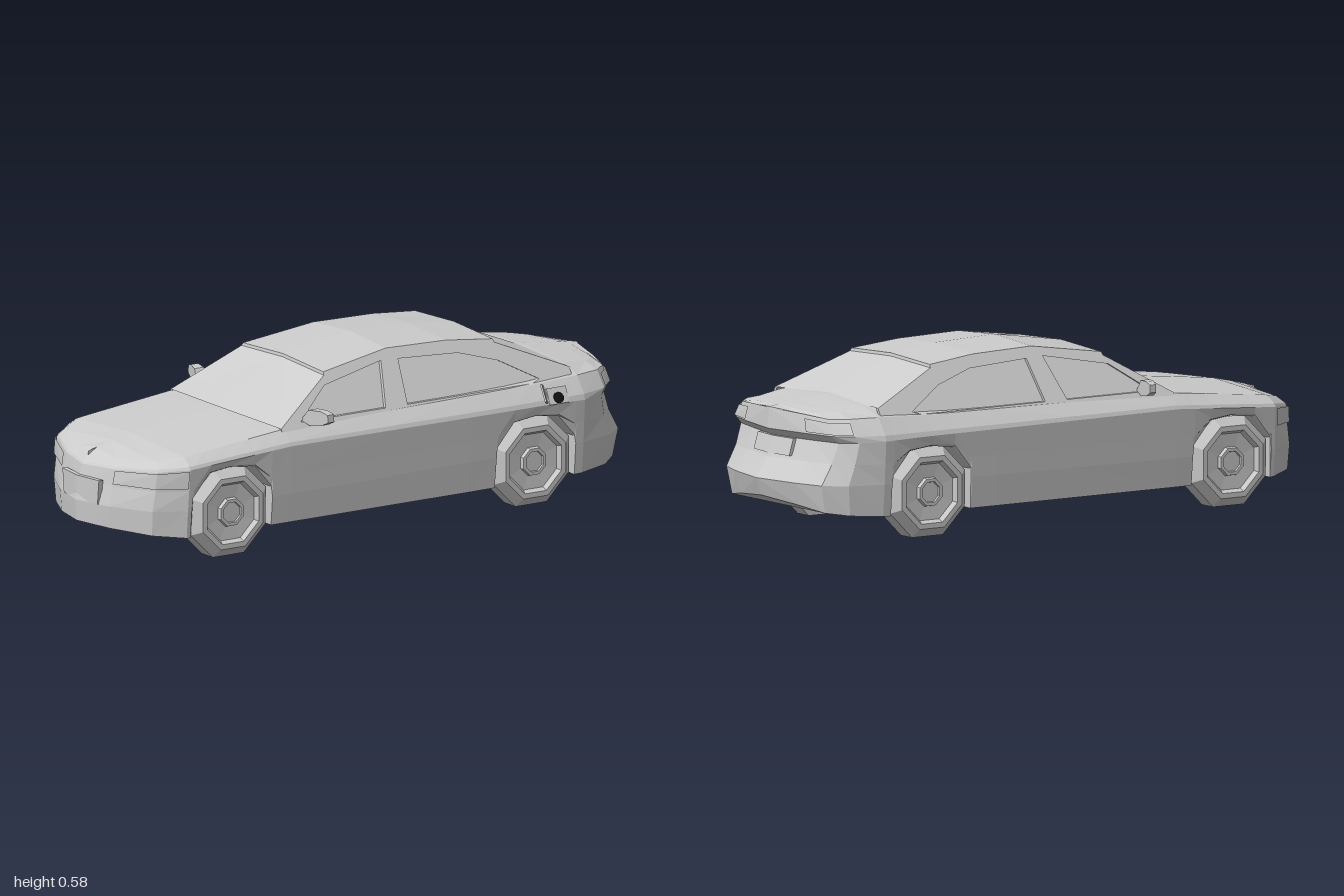
import * as THREE from 'three';
import { mergeGeometries } from 'three/addons/utils/BufferGeometryUtils.js';

const paint = new THREE.MeshStandardMaterial({ color: 0xcccccc, flatShading: true, side: THREE.DoubleSide });
const black = new THREE.MeshStandardMaterial({ color: 0x111111, flatShading: true });
const clamp = (v) => Math.min(1, Math.max(0, v));

// Piecewise linear curve through [t, value] points
function curve(points) {
  return (t) => {
    if (t <= points[0][0]) return points[0][1];
    for (let i = 1; i < points.length; i++) {
      const [t0, v0] = points[i - 1], [t1, v1] = points[i];
      if (t <= t1) return t1 === t0 ? v1 : v0 + (v1 - v0) * (t - t0) / (t1 - t0);
    }
    return points[points.length - 1][1];
  };
}

// Surface through rows of points, skipping collapsed triangles
function loft(rows) {
  const pos = [];
  const tri = (a, b, c) => {
    const [p, q, r] = [a, b, c].map((v) => new THREE.Vector3(...v));
    if (q.sub(p).cross(r.sub(p)).length() > 1e-8) pos.push(...a, ...b, ...c);
  };
  for (let i = 0; i + 1 < rows.length; i++) {
    for (let j = 0; j + 1 < rows[i].length; j++) {
      const a = rows[i][j], b = rows[i][j + 1], c = rows[i + 1][j + 1], d = rows[i + 1][j];
      tri(a, b, c);
      tri(a, c, d);
    }
  }
  const geo = new THREE.BufferGeometry();
  geo.setAttribute('position', new THREE.Float32BufferAttribute(pos, 3));
  return geo;
}

// Keeps positions only, adds the z-mirrored half with flipped winding
function mirrored(source) {
  const flat = source.index ? source.toNonIndexed() : source;
  const half = new THREE.BufferGeometry();
  half.setAttribute('position', flat.attributes.position.clone());
  const other = half.clone().scale(1, 1, -1);
  const a = other.attributes.position.array;
  for (let i = 0; i < a.length; i += 9) {
    for (let k = 0; k < 3; k++) [a[i + k], a[i + 3 + k]] = [a[i + 3 + k], a[i + k]];
  }
  const both = mergeGeometries([half, other]);
  both.computeVertexNormals();
  return both;
}

// Moves every vertex of a geometry by a rule
function bend(geo, rule) {
  const p = geo.attributes.position;
  for (let i = 0; i < p.count; i++) p.setXYZ(i, ...rule(p.getX(i), p.getY(i), p.getZ(i)));
  geo.computeVertexNormals();
  return geo;
}

const polygon = (pts) => new THREE.Shape(pts.map(([x, y]) => new THREE.Vector2(x, y)));

export function createModel() {
  const car = new THREE.Group();
  car.name = 'sedan';
  const add = (name, geo, material = paint) => {
    const mesh = new THREE.Mesh(geo, material);
    mesh.name = name;
    car.add(mesh);
    return mesh;
  };

  // Plan outline and wheel arch heights
  const wheelX = [-0.62, 0.555];
  const planZ = curve([[-1, 0], [-0.965, 0.14], [-0.89, 0.285], [-0.79, 0.345], [-0.4, 0.352],
    [0.3, 0.356], [0.74, 0.354], [0.86, 0.325], [0.93, 0.272], [0.965, 0.17], [1, 0]]);
  const arch = curve([[-0.155, 0], [-0.15, 0.21], [-0.085, 0.285], [0, 0.295], [0.085, 0.285], [0.15, 0.21], [0.155, 0]]);
  const archXs = (c) => [-0.155, -0.15, -0.085, 0, 0.085, 0.15, 0.155].map((d) => c + d);
  const xs = [-1, -0.965, -0.89, -0.79, ...archXs(wheelX[0]), -0.4, 0, 0.3,
    ...archXs(wheelX[1]), 0.74, 0.86, 0.93, 0.965, 1];
  const baseY = curve([[-1, 0.1], [-0.78, 0.08], [0.72, 0.08], [0.92, 0.092], [1, 0.13]]);
  const sillY = (x) => Math.max(baseY(x), ...wheelX.map((c) => arch(x - c)));
  const slide = (x, nose, tail) => x + nose * clamp((-x - 0.76) / 0.2) + tail * clamp((x - 0.76) / 0.2);
  const crownY = curve([[-0.95, 0.322], [-0.8, 0.36], [-0.6, 0.382], [-0.42, 0.4], [0.72, 0.442], [0.95, 0.415]]);

  // Body waterlines from sill to shoulder: height curve, width factor, nose and tail offsets
  const levels = [
    [[[0, 0]], 0.965, 0.01, -0.02],
    [[[-1, 0.17], [1, 0.188]], 0.99, 0.005, 0],
    [[[-1, 0.235], [1, 0.255]], 1, 0.02, -0.045],
    [[[-1, 0.285], [-0.85, 0.305], [-0.4, 0.335], [0.6, 0.33], [1, 0.32]], 1.015, 0.03, -0.072],
    [[[-1, 0.292], [-0.85, 0.315], [-0.4, 0.347], [0.6, 0.345], [1, 0.345]], 1, 0.035, -0.045],
    [[[-1, 0.31], [-0.8, 0.342], [-0.4, 0.383], [0.5, 0.39], [0.8, 0.402], [0.92, 0.395], [1, 0.413]], 0.89, 0.055, -0.05],
  ].map(([heights, width, nose, tail], i) => {
    const y = curve(heights);
    return xs.map((x) => [slide(x, nose, tail), Math.max(y(x), sillY(x) + 0.004 * i), planZ(x) * width]);
  });
  const [sill, , lampLow, belt, lip, shoulder] = levels;
  const floor = sill.map(([x, , z], j) => [x, baseY(xs[j]), Math.min(z, 0.25)]);
  const body = [
    floor.map(([x, y]) => [x, y, 0]),
    floor,
    sill.map(([x, y, z]) => [x, y, Math.min(z, 0.25)]),
    ...levels,
    shoulder.map(([x, y, z]) => [x, z === 0 ? y : Math.max(y, crownY(x) - 0.014), z * 0.76]),
    shoulder.map(([x]) => [x, crownY(x), 0]),
  ];
  add('body', mirrored(loft(body)));

  // Head and tail lamps wrap the corners just outside the body
  const lamp = (low, high, from, to, t0, t1) => loft([t0, t1].map((t) =>
    low.slice(from, to).map((a, j) => {
      const b = high[from + j];
      const p = a.map((v, k) => v + (b[k] - v) * t);
      return [p[0] + Math.sign(p[0]) * 0.005, p[1], p[2] + 0.004];
    })));
  add('headlamps', mirrored(lamp(lampLow, belt, 1, 4, 0.15, 0.95)));
  add('tailLamps', mirrored(lamp(lip, shoulder, xs.length - 4, xs.length - 1, 0.1, 0.8)));

  // Nose grille and rear plate follow the curved bumpers
  const grille = new THREE.BoxGeometry(0.016, 0.08, 0.2, 1, 1, 2);
  add('grille', bend(grille, (x, y, z) => [x - 0.982 + 1.6 * z * z, y + 0.21, z * (1 + y)]));
  const plate = new THREE.BoxGeometry(0.012, 0.055, 0.2, 1, 1, 2);
  add('rearPlate', bend(plate, (x, y, z) => [x + 0.938 - 0.3 * y - 1.2 * z * z, y + 0.293, z]));

  // Roof, windscreen and rear window: x, rail height, crown height
  const cabin = [[-0.41, 0.385, 0.4], [-0.19, 0.515, 0.527], [-0.188, 0.525, 0.537], [0.07, 0.562, 0.576],
    [0.3, 0.556, 0.568], [0.475, 0.538, 0.549], [0.477, 0.528, 0.539], [0.725, 0.425, 0.437]];
  const sideZ = (y) => 0.316 - 0.62 * (y - 0.385);
  add('roofAndScreens', mirrored(loft([
    cabin.map(([x, y]) => [x, y, sideZ(y)]),
    cabin.map(([x, , y], i) => [x - (i === 0 ? 0.035 : 0), y, 0]),
  ])));

  // Cabin sides with window openings, leaning inwards
  const windows = [
    [[-0.33, 0.395], [-0.31, 0.41], [-0.2, 0.487], [0.038, 0.53], [0, 0.395]],
    [[0.085, 0.395], [0.103, 0.527], [0.33, 0.515], [0.47, 0.475], [0.6, 0.405], [0.57, 0.395]],
  ];
  const side = polygon([[-0.41, 0.375], [0.725, 0.385], ...cabin.map(([x, y]) => [x, y]).reverse()]);
  side.holes = windows.map((w) => polygon(w));
  const depth = 0.012;
  const lean = (x, y, z) => [x, y, sideZ(y) + z - depth];
  add('cabinSides', mirrored(bend(new THREE.ExtrudeGeometry(side, { depth, bevelEnabled: false }), lean)));
  windows.forEach((w, i) => add(i ? 'rearSideWindows' : 'frontSideWindows',
    mirrored(bend(new THREE.ShapeGeometry(polygon(w)), lean))));

  // Door mirrors, swept back towards the tip
  const mirrorShape = polygon([[0.295, 0.4], [0.33, 0.385], [0.375, 0.392], [0.4, 0.405], [0.398, 0.43], [0.37, 0.438], [0.325, 0.436], [0.31, 0.415]]);
  const mirrorGeo = new THREE.ExtrudeGeometry(mirrorShape, { depth: 0.04, bevelEnabled: false });
  add('doorMirrors', mirrored(bend(mirrorGeo, (z, y, d) =>
    [-0.32 + d * (1 - 4 * (z - 0.3)) + 0.35 * (z - 0.3), y, z]).scale(1, 1, 1)));

  // Fuel filler with its open flap, on one side only
  const filler = new THREE.Group();
  filler.name = 'fuelFiller';
  const part = (name, geo, material, x, y, z) => {
    const mesh = new THREE.Mesh(geo, material);
    mesh.name = name;
    mesh.position.set(x, y, z);
    filler.add(mesh);
    return mesh;
  };
  part('fillerPanel', new THREE.BoxGeometry(0.075, 0.055, 0.01), paint, 0.64, 0.352, 0.347).rotation.x = -0.45;
  const cap = part('fillerCap', new THREE.CylinderGeometry(0.019, 0.019, 0.008, 12), black, 0.64, 0.347, 0.354);
  cap.rotation.x = Math.PI / 2 - 0.45;
  part('fillerFlap', new THREE.BoxGeometry(0.05, 0.06, 0.006), paint, 0.588, 0.365, 0.35).rotation.set(-0.5, 0.9, 0);
  car.add(filler);

  // Eight-sided wheels: tyre, dished rim and hub in one profile
  const profile = [[0, 0.26], [0.157, 0.26], [0.157, 0.323], [0.126, 0.35], [0.108, 0.35], [0.098, 0.335],
    [0.05, 0.332], [0.047, 0.345], [0.036, 0.345], [0.034, 0.339], [0, 0.339]];
  const wheel = new THREE.LatheGeometry(profile.map(([r, z]) => new THREE.Vector2(r, z)), 8, Math.PI / 8);
  wheel.rotateX(Math.PI / 2);
  wheelX.forEach((x, i) => {
    add(i ? 'rearWheels' : 'frontWheels', mirrored(wheel)).position.set(x, 0.145, 0);
  });

  return car;
}
